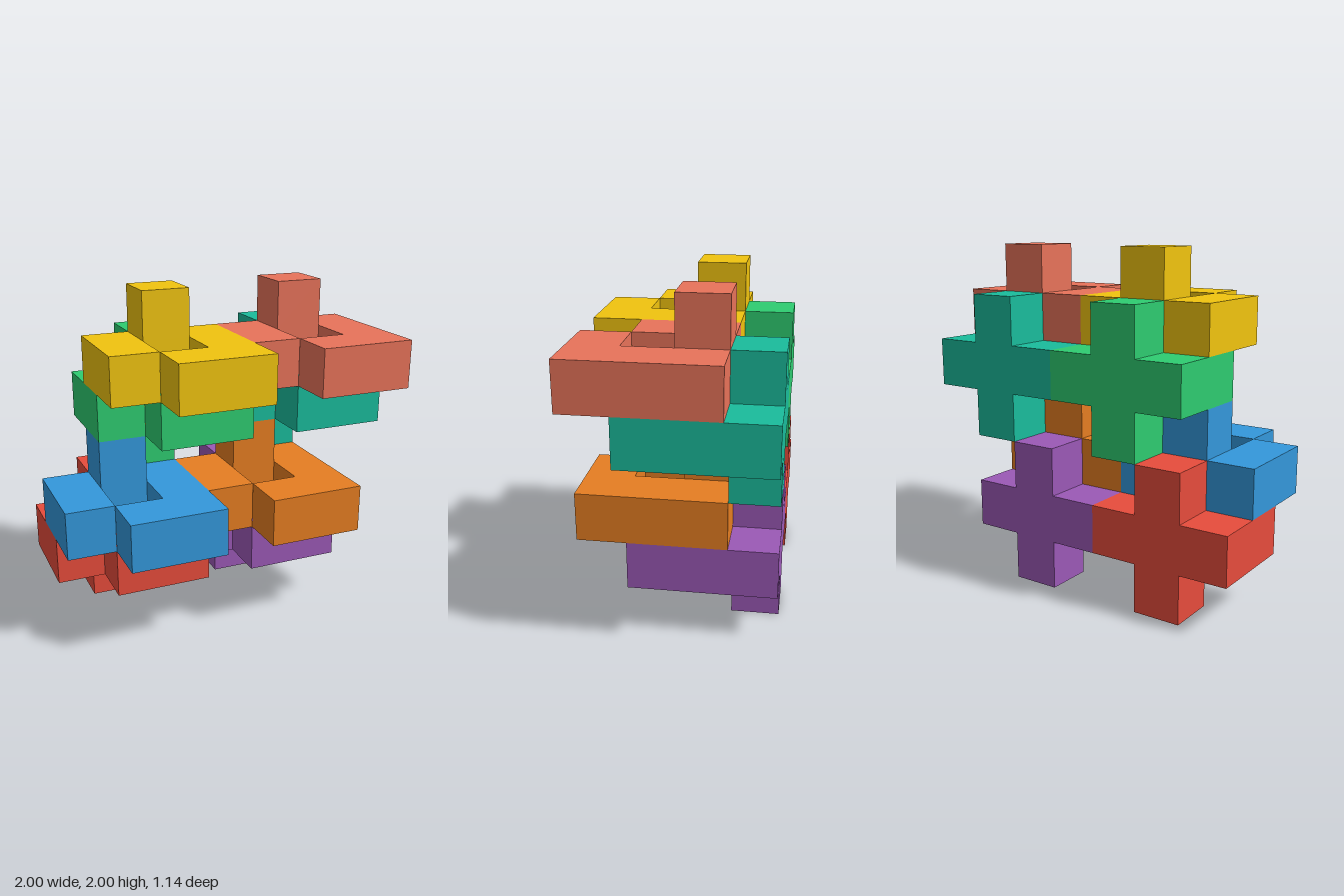
import * as THREE from 'three';

const U = 2 / 7; // edge of one cube cell

// Hooked plan of a piece in cells: back bar, short arm on one side, long hooked arm on the other
const PLAN = [
  [-1.5, -0.5], [1.5, -0.5], [1.5, 2.5], [-0.499, 2.5], [-0.499, 1.5],
  [0.5, 1.5], [0.5, 0.5], [-0.5, 0.5], [-0.5, 1.5], [-1.5, 1.5],
];

// Name, colour and cell of the cross centre (x, y, z)
const PIECES = [
  ['redPiece', 0xe74c3c, 1, 1, 0],
  ['purplePiece', 0x9b59b6, 4, 1, 0],
  ['bluePiece', 0x3498db, 1, 2, 1],
  ['orangePiece', 0xe67e22, 4, 2, 1],
  ['greenPiece', 0x2ecc71, 2, 4, 0],
  ['tealPiece', 0x1abc9c, 5, 4, 0],
  ['yellowPiece', 0xf1c40f, 2, 5, 1],
  ['coralPiece', 0xe8735a, 5, 5, 1],
];

function hookGeometry() {
  const shape = new THREE.Shape(PLAN.map(([x, z]) => new THREE.Vector2(x * U, z * U)));
  const geometry = new THREE.ExtrudeGeometry(shape, { depth: U, bevelEnabled: false });
  // Lay the plan flat and centre its thickness
  return geometry.rotateX(Math.PI / 2).translate(0, U / 2, 0);
}

export function createModel() {
  const model = new THREE.Group();
  model.name = 'interlockingPieces';
  const hook = hookGeometry();
  const cube = new THREE.BoxGeometry(U, U, U);

  for (const [name, color, x, y, z] of PIECES) {
    const material = new THREE.MeshStandardMaterial({ color });
    const piece = new THREE.Group();
    piece.name = name;
    piece.position.set((x - 3) * U, (y + 0.5) * U, (z - 1.5) * U);

    const body = new THREE.Mesh(hook, material);
    body.name = 'hookedBody';
    piece.add(body);

    // Pegs above and below the middle of the back bar
    for (const side of [1, -1]) {
      const peg = new THREE.Mesh(cube, material);
      peg.name = side > 0 ? 'upperPeg' : 'lowerPeg';
      peg.position.y = side * U;
      piece.add(peg);
    }
    model.add(piece);
  }
  return model;
}
